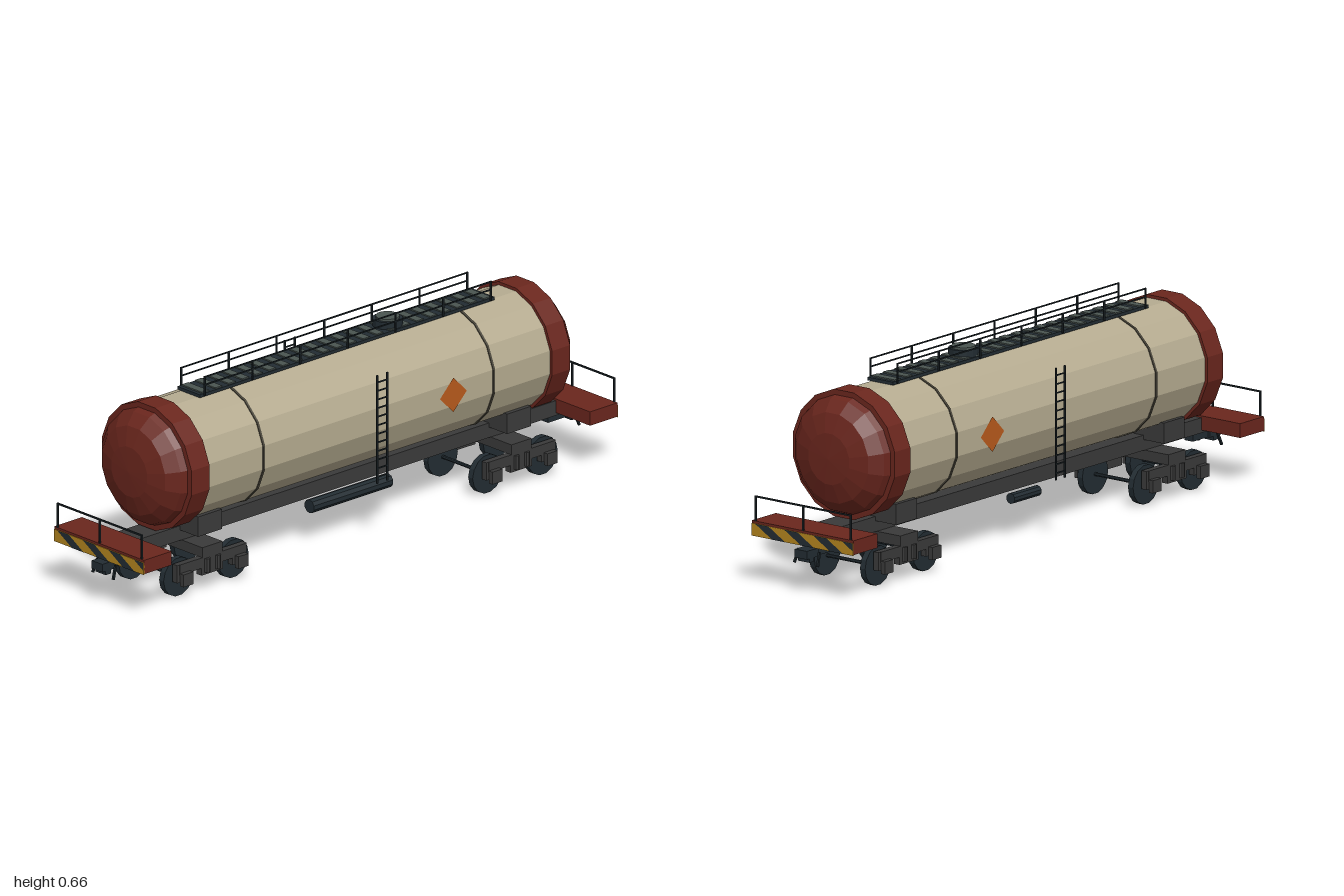
import * as THREE from 'three';

const mat = (color, extra = {}) => new THREE.MeshStandardMaterial({ color, flatShading: true, ...extra });
const M = {
  red: mat(0x6a261d), cream: mat(0xb5ab90), iron: mat(0x3a3a3a), dark: mat(0x222c32),
  slat: mat(0x4a5450), rail: mat(0x1a2226), seam: mat(0x4c483c),
  yellow: mat(0xb5861f), stripe: mat(0x222c32, { side: THREE.DoubleSide }),
  orange: mat(0xb85a1c, { side: THREE.DoubleSide }),
};

function add(parent, name, geometry, material, x = 0, y = 0, z = 0) {
  const mesh = new THREE.Mesh(geometry, material);
  mesh.name = name;
  mesh.position.set(x, y, z);
  parent.add(mesh);
  return mesh;
}
const box = (parent, name, material, w, h, d, x, y, z) =>
  add(parent, name, new THREE.BoxGeometry(w, h, d), material, x, y, z);

function group(parent, name) {
  const g = new THREE.Group();
  g.name = name;
  parent.add(g);
  return g;
}

// Sixteen-sided turned shape along z; profile is [apothem, z], with flats at top and sides
function turned(profile) {
  const k = 1 / Math.cos(Math.PI / 16);
  const pts = profile.map(([r, z]) => new THREE.Vector2(r * k, z));
  return new THREE.LatheGeometry(pts, 16, Math.PI / 16).rotateX(Math.PI / 2);
}

const cylinderX = (r, len, n) => new THREE.CylinderGeometry(r, r, len, n).rotateZ(Math.PI / 2);
const cylinderZ = (r, len, n) => new THREE.CylinderGeometry(r, r, len, n).rotateX(Math.PI / 2);
const polygon = (pts) => new THREE.ShapeGeometry(new THREE.Shape(pts.map(([x, y]) => new THREE.Vector2(x, y))));

function buildTank(root) {
  const tank = group(root, 'tank');
  add(tank, 'tankBarrel', turned([[0.19, -0.73], [0.19, 0.73]]), M.cream, 0, 0.4, 0);
  for (const z of [-0.48, 0.48])
    add(tank, 'tankSeam', turned([[0.188, -0.004], [0.193, -0.004], [0.193, 0.004], [0.188, 0.004]]), M.seam, 0, 0.4, z);
  for (const turn of [0, Math.PI]) {
    const cap = add(tank, 'tankEndCap', turned([
      [0.188, 0.715], [0.2, 0.715], [0.2, 0.79], [0.183, 0.79], [0.175, 0.812],
      [0.14, 0.845], [0.08, 0.863], [0, 0.867],
    ]), M.red, 0, 0.4, 0);
    cap.rotation.y = turn;
  }
  // Hazard diamonds on both flanks
  for (const s of [-1, 1]) {
    const d = add(tank, 'hazardDiamond', polygon([[0, -0.056], [0.056, 0], [0, 0.056], [-0.056, 0]]),
      M.orange, s * 0.1925, 0.4, -0.31);
    d.rotation.y = s * Math.PI / 2;
  }
}

function buildWalkway(root) {
  const walk = group(root, 'walkway');
  box(walk, 'walkwayBase', M.dark, 0.1, 0.01, 1.23, 0, 0.596, 0);
  for (let i = 0; i < 22; i++)
    box(walk, 'walkwaySlat', M.slat, 0.092, 0.006, 0.028, 0, 0.602, -0.588 + i * 0.056);
  for (const x of [-0.053, 0.053]) {
    for (const y of [0.63, 0.656]) box(walk, 'walkwayRail', M.rail, 0.004, 0.004, 1.2, x, y, 0);
    for (let i = -3; i <= 3; i++) box(walk, 'walkwayPost', M.rail, 0.005, 0.063, 0.005, x, 0.6265, i * 0.199);
  }
  // Filling hatch
  add(walk, 'hatchNeck', new THREE.CylinderGeometry(0.047, 0.047, 0.028, 14), M.dark, 0, 0.61, -0.215);
  add(walk, 'hatchLid', new THREE.CylinderGeometry(0.037, 0.037, 0.008, 14), M.slat, 0, 0.627, -0.215);
}

function buildLadder(root, s) {
  const ladder = group(root, 'ladder');
  for (const z of [-0.021, 0.021])
    box(ladder, 'ladderStile', M.rail, 0.005, 0.353, 0.005, s * 0.206, 0.377, z);
  for (let i = 0; i < 12; i++)
    box(ladder, 'ladderRung', M.rail, 0.004, 0.004, 0.042, s * 0.206, 0.222 + i * 0.028, 0);
}

// One end of the wagon, built facing +z
function buildEnd(root, turn) {
  const end = group(root, 'wagonEnd');
  box(end, 'endPlatform', M.red, 0.4, 0.045, 0.115, 0, 0.1775, 0.931);
  box(end, 'warningPanel', M.yellow, 0.4, 0.039, 0.004, 0, 0.1725, 0.989);
  const [lo, hi] = [0.153, 0.192];
  for (let i = 0; i < 3; i++) {
    const x = -0.184 + i * 0.114;
    add(end, 'warningStripe', polygon([[x, hi], [x + 0.066, lo], [x + 0.118, lo], [x + 0.052, hi]]), M.stripe, 0, 0, 0.992);
  }
  add(end, 'warningStripe', polygon([[0.158, hi], [0.2, 0.167], [0.2, hi]]), M.stripe, 0, 0, 0.992);
  // Guard rail
  for (const x of [-0.187, 0, 0.187]) box(end, 'guardPost', M.rail, 0.005, 0.08, 0.005, x, 0.238, 0.986);
  box(end, 'guardRail', M.rail, 0.379, 0.005, 0.005, 0, 0.277, 0.986);
  // Coupler and hanging air hoses
  box(end, 'couplerShank', M.dark, 0.032, 0.026, 0.1, 0, 0.127, 0.92);
  box(end, 'couplerHead', M.dark, 0.048, 0.026, 0.055, 0, 0.127, 0.97);
  box(end, 'couplerJaw', M.dark, 0.046, 0.016, 0.022, 0, 0.109, 0.972);
  for (const s of [-1, 1]) {
    const hose = box(end, 'airHose', M.rail, 0.007, 0.046, 0.007, s * 0.043, 0.111, 0.965);
    hose.rotation.set(-0.35, 0, s * 0.12);
  }
  // Tank saddle
  box(end, 'saddle', M.iron, 0.255, 0.065, 0.1, 0, 0.2125, 0.645);
  end.rotation.y = turn;
}

function buildBogie(root, z0) {
  const bogie = group(root, 'bogie');
  box(bogie, 'bolster', M.iron, 0.276, 0.033, 0.084, 0, 0.129, 0);
  for (const z of [-0.115, 0.115]) {
    add(bogie, 'axle', cylinderX(0.006, 0.24, 8), M.dark, 0, 0.0625, z);
    for (const s of [-1, 1]) {
      add(bogie, 'wheel', cylinderX(0.0625, 0.02, 14), M.dark, s * 0.1, 0.0625, z);
      box(bogie, 'pedestal', M.iron, 0.02, 0.058, 0.06, s * 0.126, 0.084, z);
      box(bogie, 'axleBox', M.iron, 0.016, 0.04, 0.042, s * 0.146, 0.065, z);
    }
  }
  for (const s of [-1, 1]) {
    box(bogie, 'sideFrame', M.iron, 0.022, 0.034, 0.27, s * 0.127, 0.096, 0);
    box(bogie, 'springSeat', M.iron, 0.022, 0.05, 0.09, s * 0.127, 0.08, 0);
    for (const z of [-0.022, 0.022])
      add(bogie, 'spring', new THREE.CylinderGeometry(0.01, 0.01, 0.045, 8), M.iron, s * 0.138, 0.085, z);
  }
  bogie.position.z = z0;
}

export function createModel() {
  const root = new THREE.Group();
  root.name = 'tankWagon';
  buildTank(root);
  buildWalkway(root);
  // Centre sill and slung reservoirs
  box(root, 'centreSill', M.iron, 0.094, 0.048, 1.8, 0, 0.17, 0);
  add(root, 'longReservoir', cylinderZ(0.022, 0.33, 10), M.dark, 0.063, 0.125, 0.005);
  add(root, 'shortReservoir', cylinderZ(0.017, 0.13, 10), M.dark, -0.063, 0.128, 0);
  for (const s of [-1, 1]) {
    buildLadder(root, s);
    buildEnd(root, s > 0 ? 0 : Math.PI);
    buildBogie(root, s * 0.645);
  }
  return root;
}
